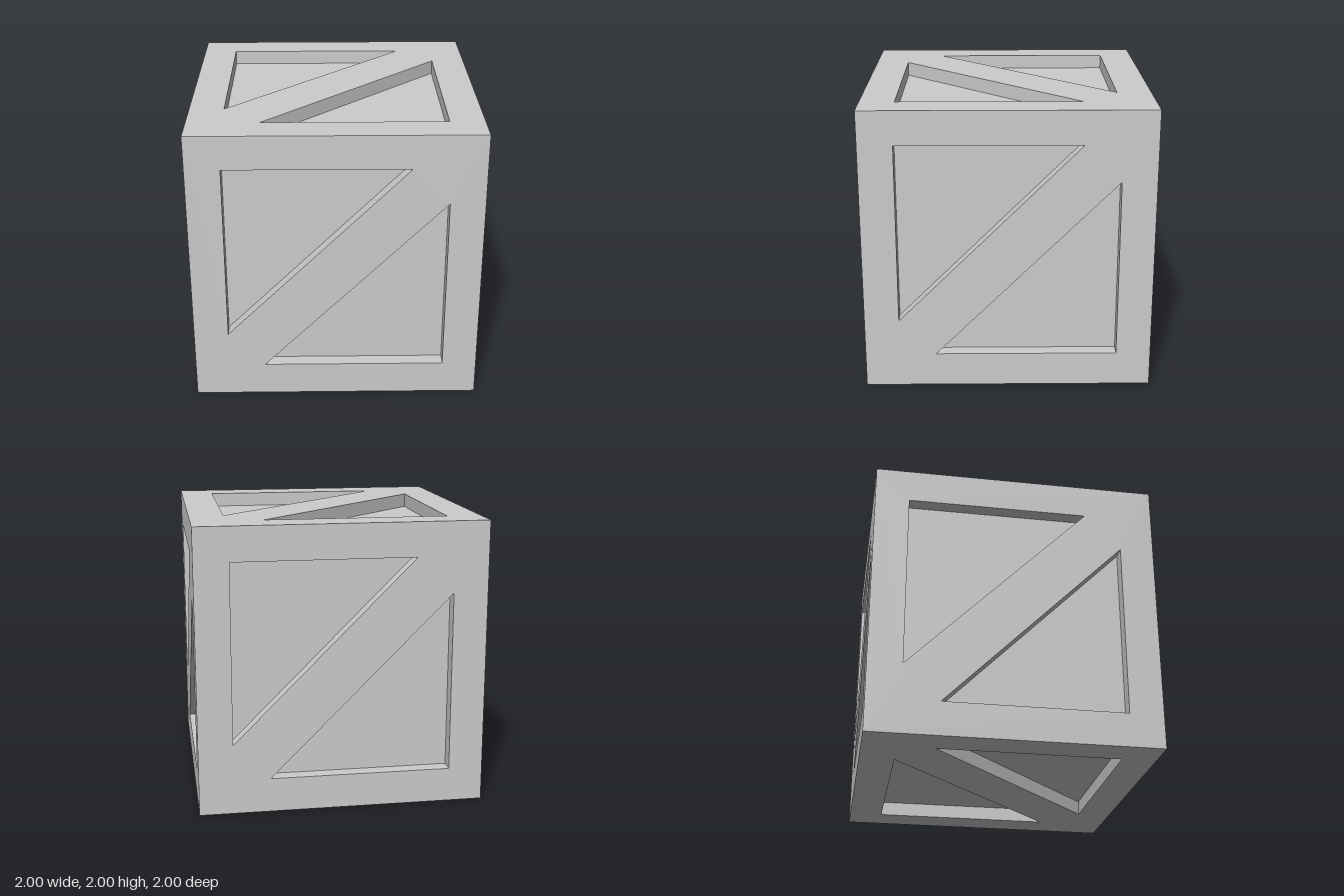
import * as THREE from 'three';

const HALF = 1;       // half the cube's side
const DEPTH = 0.1;    // depth of the recessed panels
const EDGE = 0.76;    // outer edge of the panels
const TIP = 0.505;    // where the panels meet the diagonal brace

// Closed 2D outline to shape
const toShape = (pts) => new THREE.Shape(pts.map(([x, y]) => new THREE.Vector2(x, y)));

// Inward-facing walls of a recess with a counter-clockwise outline
function recessWalls(pts) {
  const top = HALF, bottom = HALF - DEPTH;
  const positions = [];
  pts.forEach(([ax, ay], i) => {
    const [bx, by] = pts[(i + 1) % pts.length];
    positions.push(ax, ay, top, bx, by, top, bx, by, bottom);
    positions.push(ax, ay, top, bx, by, bottom, ax, ay, bottom);
  });
  const geometry = new THREE.BufferGeometry();
  geometry.setAttribute('position', new THREE.Float32BufferAttribute(positions, 3));
  geometry.computeVertexNormals();
  return geometry;
}

// One side of the crate: frame with diagonal brace and two sunken triangles
function createSide(material) {
  const side = new THREE.Group();
  const add = (name, geometry, z = 0) => {
    const mesh = new THREE.Mesh(geometry, material);
    mesh.name = name;
    mesh.position.z = z;
    side.add(mesh);
  };

  const upper = [[-EDGE, EDGE], [-EDGE, -TIP], [TIP, EDGE]];
  const lower = upper.map(([x, y]) => [-x, -y]);

  const frame = toShape([[-HALF, -HALF], [HALF, -HALF], [HALF, HALF], [-HALF, HALF]]);
  frame.holes.push(toShape(upper), toShape(lower));
  add('frameAndBrace', new THREE.ShapeGeometry(frame), HALF);

  for (const [name, pts] of [['upper', upper], ['lower', lower]]) {
    add(name + 'Panel', new THREE.ShapeGeometry(toShape(pts)), HALF - DEPTH);
    add(name + 'PanelWalls', recessWalls(pts));
  }
  return side;
}

export function createModel() {
  const material = new THREE.MeshStandardMaterial({ color: 0xcccccc, flatShading: true });
  const crate = new THREE.Group();
  crate.name = 'crate';

  // The same side turned to all six directions
  const q = Math.PI / 2;
  const turns = {
    frontSide: [0, 0], leftSide: [0, q], backSide: [0, 2 * q], rightSide: [0, -q],
    topSide: [-q, 0], bottomSide: [q, 0],
  };
  for (const [name, [rx, ry]] of Object.entries(turns)) {
    const side = createSide(material);
    side.name = name;
    side.rotation.set(rx, ry, 0);
    side.position.y = HALF;
    crate.add(side);
  }
  return crate;
}
